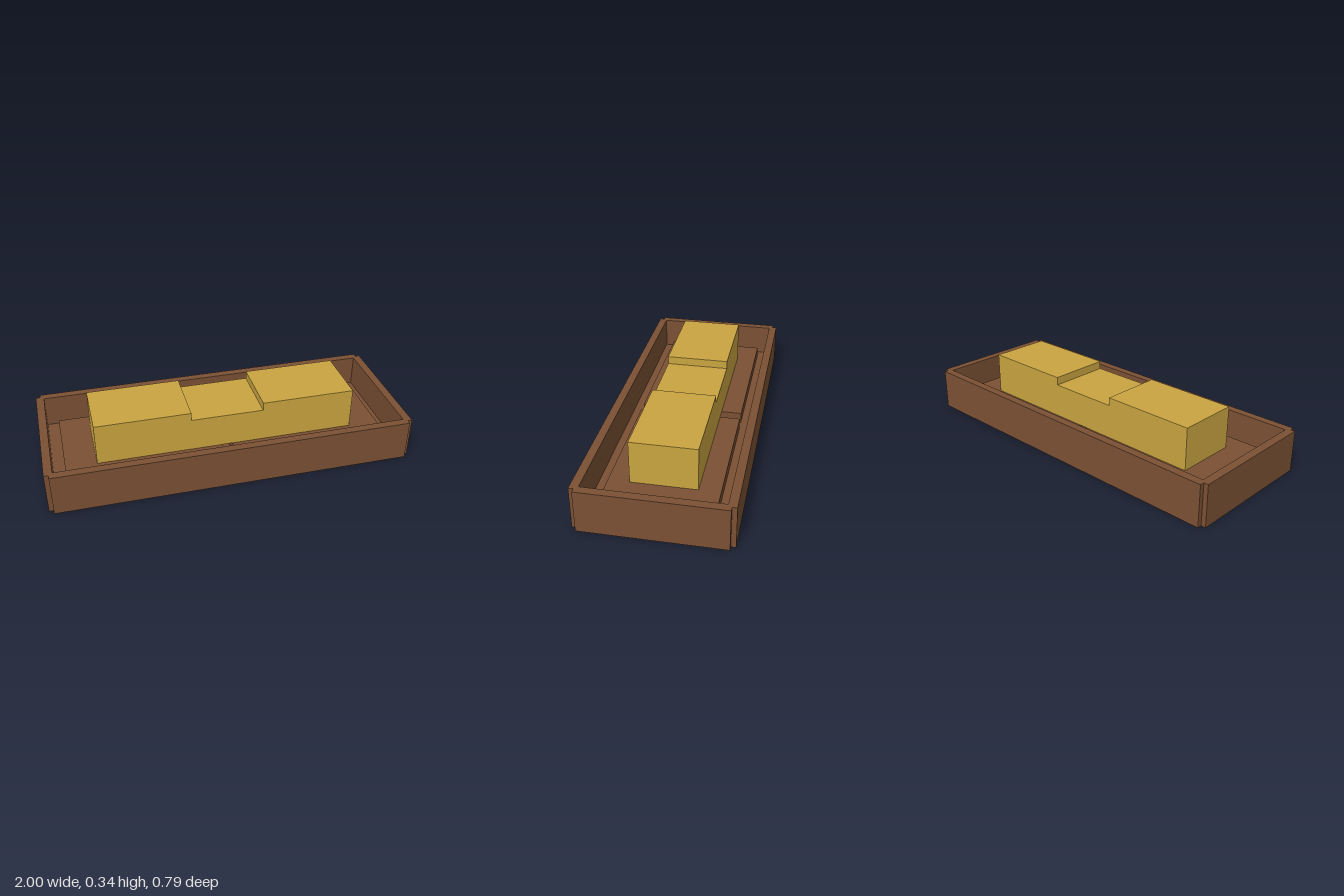
import * as THREE from 'three';

export function createModel() {
  const model = new THREE.Group();
  model.name = 'trayWithBlocks';

  const wood = new THREE.MeshStandardMaterial({ color: 0x7a5033 });
  wood.name = 'brown wood';
  const gold = new THREE.MeshStandardMaterial({ color: 0xc9a440 });
  gold.name = 'gold';

  // Box given by its lower and upper corners
  const box = (name, material, [x0, y0, z0], [x1, y1, z1]) => {
    const mesh = new THREE.Mesh(new THREE.BoxGeometry(x1 - x0, y1 - y0, z1 - z0), material);
    mesh.name = name;
    mesh.position.set((x0 + x1) / 2, (y0 + y1) / 2, (z0 + z1) / 2);
    model.add(mesh);
  };

  const wallTop = 0.23, floorTop = 0.05, panelTop = 0.11;

  // Tray floor
  box('floor', wood, [-0.955, 0, -0.35], [0.955, floorTop, 0.35]);

  // Long walls stop short of the ends, leaving notched corners
  box('frontWall', wood, [-0.975, 0, 0.35], [0.975, wallTop, 0.395]);
  box('backWall', wood, [-0.975, 0, -0.395], [0.975, wallTop, -0.35]);

  // End walls
  box('leftWall', wood, [0.955, 0, -0.37], [1, wallTop, 0.37]);
  box('rightWall', wood, [-1, 0, -0.37], [-0.955, wallTop, 0.37]);

  // Two raised panels with a narrow gap between them
  box('leftPanel', wood, [0.03, floorTop, -0.285], [0.89, panelTop, 0.285]);
  box('rightPanel', wood, [-0.89, floorTop, -0.285], [-0.03, panelTop, 0.285]);

  // Gold blocks: two taller ends and a lower middle
  box('leftBlock', gold, [0.2, panelTop, -0.173], [0.72, 0.345, 0.173]);
  box('rightBlock', gold, [-0.72, panelTop, -0.173], [-0.2, 0.345, 0.173]);
  box('middleBlock', gold, [-0.2, panelTop, -0.173], [0.2, 0.3, 0.173]);

  return model;
}
